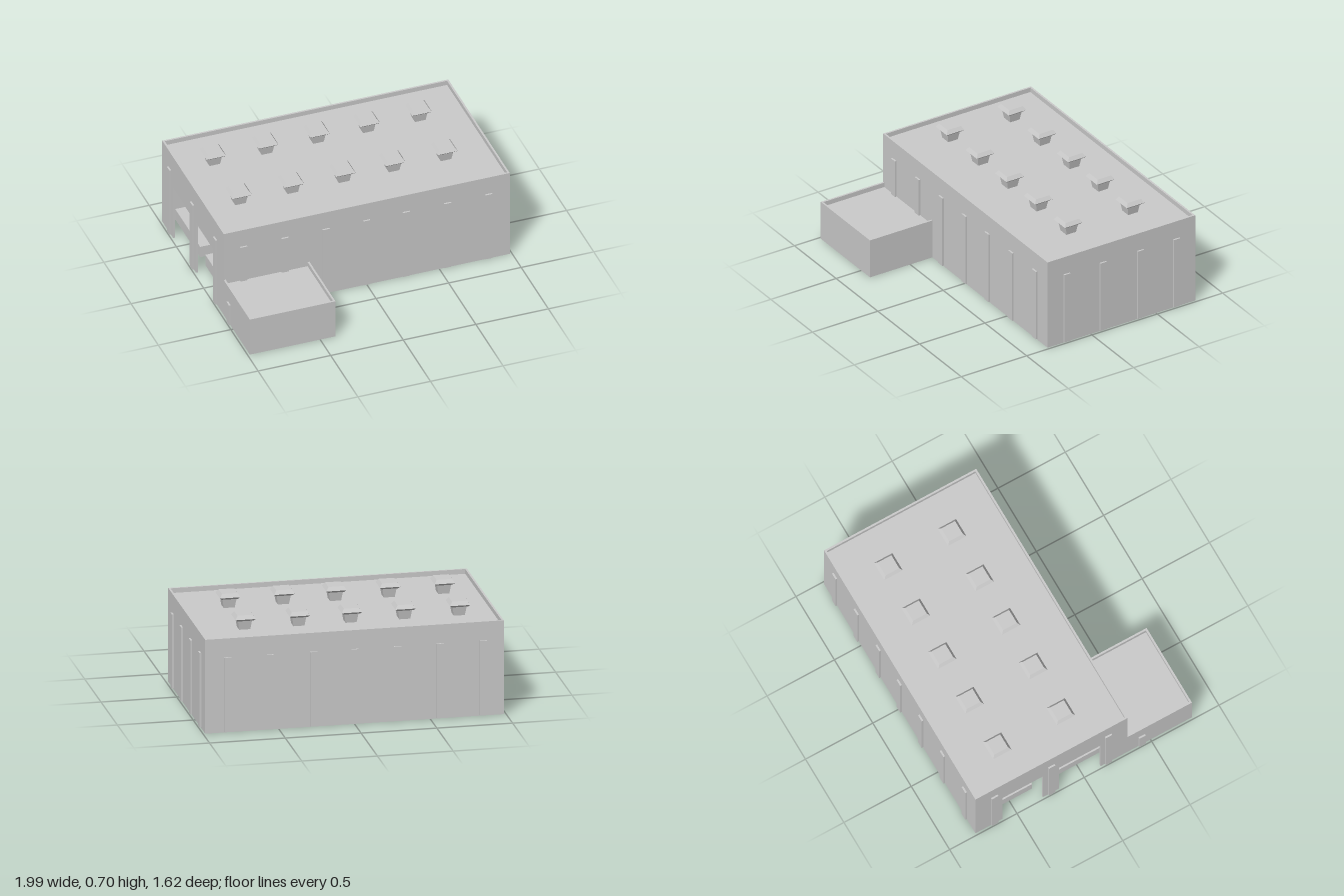
import * as THREE from 'three';

const material = new THREE.MeshStandardMaterial({ color: 0xcccccc, flatShading: true });
const T = 0.013; // wall thickness

export function createModel() {
  const model = new THREE.Group();

  const add = (name, geometry, parent = model) => {
    const mesh = new THREE.Mesh(geometry, material);
    mesh.name = name;
    parent.add(mesh);
    return mesh;
  };

  // Box given by its limits on each axis
  const box = (name, x0, x1, y0, y1, z0, z1) => {
    const mesh = add(name, new THREE.BoxGeometry(x1 - x0, y1 - y0, z1 - z0));
    mesh.position.set((x0 + x1) / 2, (y0 + y1) / 2, (z0 + z1) / 2);
    return mesh;
  };

  // Main hall
  const X = 0.985, back = -0.8, front = 0.33, H = 0.635;
  box('backWall', -X, X, 0, H, back, back + T);
  box('frontWall', -X, X, 0, H, front - T, front);
  box('leftWall', X - T, X, 0, H, back + T, front - T);
  box('roof', -X + T, X - T, 0.59, 0.603, back + T, front - T);

  // End wall with two tall door openings, drawn in (z, y)
  const z0 = back + T, z1 = front - T, doorTop = 0.39;
  const outline = [[z0, 0], [-0.6, 0], [-0.6, doorTop], [-0.3, doorTop], [-0.3, 0],
    [-0.18, 0], [-0.18, doorTop], [0.13, doorTop], [0.13, 0], [z1, 0], [z1, H], [z0, H]];
  const shape = new THREE.Shape(outline.map(([z, y]) => new THREE.Vector2(-z, y)));
  const doorWall = add('doorWall', new THREE.ExtrudeGeometry(shape, { depth: T, bevelEnabled: false }));
  doorWall.rotation.y = Math.PI / 2;
  doorWall.position.x = -X;

  // Raised floors with a narrow channel between them
  box('backFloor', -0.9, X - T, 0.004, 0.085, z0, -0.33);
  box('frontFloor', -0.9, X - T, 0.004, 0.085, -0.235, z1);

  // Low annex, open underneath
  const ax = -0.395, az = 0.808, ah = 0.275;
  box('annexFrontWall', -X, ax, 0, ah, az - T, az);
  box('annexRightWall', -X, -X + T, 0, ah, front, az - T);
  box('annexLeftWall', ax - T, ax, 0, ah, front, az - T);
  box('annexRoof', -X + T, ax - T, 0.23, 0.243, front, az - T);

  // Wall pilasters
  const w = 0.024, d = 0.012, p0 = 0.006, p1 = 0.508;
  for (const x of [-0.85, -0.565, -0.283, -0.003, 0.27, 0.555, 0.838]) {
    box('frontPilaster', x - w, x + w, p0, p1, front, front + d);
    box('backPilaster', x - w, x + w, p0, p1, back - d, back);
  }
  for (const z of [-0.655, -0.378, -0.093, 0.185])
    box('leftPilaster', X, X + d, p0, p1, z - w, z + w);
  for (const z of [-0.66, -0.237, 0.185])
    box('rightPilaster', -X - d, -X, p0, p1, z - w, z + w);
  box('annexPilaster', -X - d, -X, p0, 0.16, 0.435 - w, 0.435 + w);

  // Roof vents: flared square stem under a bevelled cap
  const frustum = (bottom, top, y0, y1) =>
    new THREE.CylinderGeometry(top * Math.SQRT2, bottom * Math.SQRT2, y1 - y0, 4)
      .rotateY(Math.PI / 4).translate(0, (y0 + y1) / 2, 0);
  for (const z of [-0.503, -0.03]) {
    for (const x of [-0.748, -0.388, -0.034, 0.31, 0.668]) {
      const vent = new THREE.Group();
      vent.name = 'roofVent';
      vent.position.set(x, 0, z);
      add('ventStem', frustum(0.036, 0.047, 0.6, 0.668), vent);
      add('ventCapUnderside', frustum(0.053, 0.068, 0.665, 0.679), vent);
      add('ventCap', frustum(0.068, 0.051, 0.679, 0.704), vent);
      model.add(vent);
    }
  }

  return model;
}
